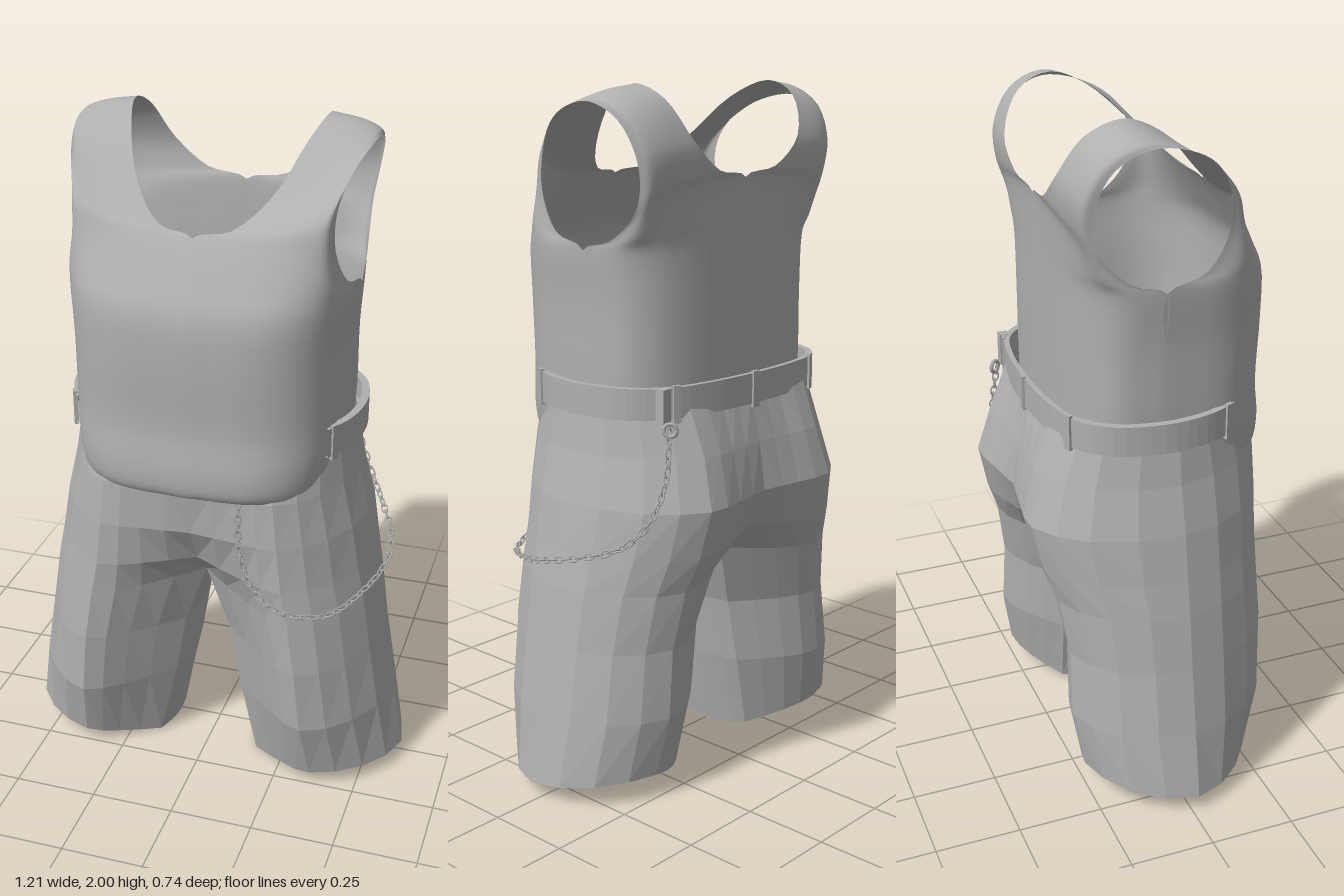
import * as THREE from 'three';
import { mergeGeometries, mergeVertices } from 'three/addons/utils/BufferGeometryUtils.js';

const { lerp } = THREE.MathUtils;
const curve = (pts) => new THREE.CatmullRomCurve3(pts.map((p) => new THREE.Vector3(...p)));

// Surface through rows of points, splined along (su) and across (sv) the rows; sx = -1 mirrors it.
function patch(rows, su, sv, sx) {
  const across = rows.map((r) => curve(r).getPoints((r.length - 1) * su));
  const nu = across[0].length;
  const columns = across[0].map((_, i) => {
    const column = across.map((r) => r[i]);
    return sv === 1 ? column : new THREE.CatmullRomCurve3(column).getPoints((rows.length - 1) * sv);
  });
  const nv = columns[0].length, pos = [], idx = [];
  for (let j = 0; j < nv; j++) for (let i = 0; i < nu; i++) {
    const p = columns[i][j];
    pos.push(p.x * sx, p.y, p.z);
  }
  for (let j = 0; j < nv - 1; j++) for (let i = 0; i < nu - 1; i++) {
    const a = j * nu + i, b = a + 1, d = a + nu, c = d + 1;
    idx.push(...(sx > 0 ? [a, b, c, a, c, d] : [a, c, b, a, d, c]));
  }
  const g = new THREE.BufferGeometry();
  g.setAttribute('position', new THREE.Float32BufferAttribute(pos, 3));
  g.setIndex(idx);
  return g;
}

// Both mirrored halves in one geometry, smooth or faceted.
function mirrored(rows, su, sv, smooth) {
  let g = mergeGeometries([patch(rows, su, sv, 1), patch(rows, su, sv, -1)]);
  g = smooth ? mergeVertices(g, 1e-4) : g.toNonIndexed();
  g.computeVertexNormals();
  return g;
}

// Tank top row: a rounded corner from the centre or neck edge to the side or armhole edge.
function shirtRow([x0, y0, z0, x1, y1, z1]) {
  return [0, 1, 2, 3, 4].map((i) => {
    const a = (i / 4) * Math.PI / 2;
    const s = Math.sin(a) ** 0.667, c = Math.max(0, Math.cos(a)) ** 0.667;
    return [lerp(x0, x1, s), lerp(y0, y1, i / 4), lerp(z1, z0, i === 4 ? 0 : c)];
  });
}

// The hem slopes up to the outside and dips between front and back.
const hemY = (x, z) => Math.max(0, 0.11 * (x - 0.14) + 0.6 * z * z - 0.05 * z);

// Shorts row: front inner edge, front ridge, outside, seat, back inner edge.
function shortsRow([y, lift, xIn, xRidge, xOut, zFrontIn, zFront, zBack, zBackIn]) {
  return [
    [xIn, zFrontIn, lift],
    [lerp(xIn, xRidge, 0.55), lerp(zFrontIn, zFront, 0.65), lift * 0.3],
    [xRidge, zFront, 0],
    [lerp(xRidge, xOut, 0.62), zFront * 0.69, 0],
    [xOut, 0.02, 0],
    [lerp(xRidge, xOut, 0.7), zBack * 0.66, 0],
    [xRidge, zBack, 0],
    [lerp(xIn, xRidge, 0.5), lerp(zBackIn, zBack, 0.7), lift * 0.3],
    [xIn, zBackIn, lift],
  ].map(([x, z, up]) => [x, y === 0 ? hemY(x, z) : y + up, z]);
}

export function createModel() {
  const model = new THREE.Group();
  const grey = new THREE.MeshStandardMaterial({ color: 0xb0b0b0, side: THREE.DoubleSide });
  grey.name = 'cloth grey';
  const add = (name, geometry, parent = model) => {
    const m = new THREE.Mesh(geometry, grey);
    m.name = name;
    parent.add(m);
    return m;
  };

  // Tank top: rows run from the front hem over the shoulder to the back hem.
  const belly = [
    [0, 0.99, 0.325, 0.36, 0.98, -0.02],
    [0, 1.01, 0.36, 0.375, 1.01, -0.02],
    [0, 1.08, 0.37, 0.388, 1.08, -0.02],
    [0, 1.2, 0.357, 0.395, 1.2, -0.02],
    [0, 1.4, 0.365, 0.395, 1.4, -0.02],
    [0, 1.54, 0.357, 0.405, 1.56, -0.02],
  ];
  const straps = [
    [0, 1.63, 0.315, 0.39, 1.6, 0.1],
    [0, 1.73, 0.255, 0.37, 1.71, 0.175],
    [0.1, 1.75, 0.225, 0.37, 1.81, 0.17],
    [0.19, 1.83, 0.14, 0.39, 1.89, 0.12],
    [0.25, 1.95, 0.02, 0.415, 1.94, 0.03],
    [0.28, 2, -0.1, 0.43, 1.955, -0.08],
    [0.27, 1.96, -0.2, 0.42, 1.91, -0.17],
    [0.22, 1.85, -0.26, 0.4, 1.82, -0.215],
    [0.12, 1.77, -0.262, 0.385, 1.73, -0.215],
    [0, 1.745, -0.252, 0.385, 1.66, -0.19],
    [0, 1.64, -0.25, 0.395, 1.59, -0.11],
  ];
  const backRows = [1.55, 1.4, 1.2, 1.08].map((y, i) =>
    [0, y, -0.25, belly[5 - i][3], belly[5 - i][4], -0.02]);
  add('tankTop', mirrored([...belly, ...straps, ...backRows].map(shirtRow), 5, 4, true));

  // Shorts, from the hem up to the waist
  const shorts = [
    [0, 0, 0.16, 0.365, 0.605, 0.13, 0.26, -0.25, -0.14],
    [0.25, 0, 0.105, 0.345, 0.57, 0.13, 0.32, -0.28, -0.15],
    [0.45, 0, 0.07, 0.325, 0.535, 0.13, 0.33, -0.275, -0.14],
    [0.62, 0.03, 0, 0.3, 0.51, 0.14, 0.325, -0.3, -0.17],
    [0.72, 0.02, 0, 0.28, 0.49, 0.23, 0.325, -0.335, -0.28],
    [0.86, 0, 0, 0.265, 0.465, 0.3, 0.325, -0.365, -0.335],
    [1, 0, 0, 0.25, 0.43, 0.32, 0.32, -0.325, -0.315],
    [1.14, 0, 0, 0.25, 0.41, 0.3, 0.28, -0.27, -0.28],
  ].map(shortsRow);
  add('shorts', mirrored(shorts, 2, 1, false));

  // Inner thighs close each leg up to the crotch.
  const thighs = shorts.slice(0, 4).map((row, i) => {
    const x = row[0][0] * 0.85;
    const y = [0.005, 0.25, 0.45, 0.625][i];
    return [row[8], [x, y, -0.05], [x, y, 0.05], row[0]];
  });
  add('innerThighs', mirrored(thighs, 2, 1, false));

  // Belt band, visible round the sides and back
  const path = [[0.375, 0.2], [0.42, 0.1], [0.435, -0.03], [0.4, -0.17], [0.32, -0.25], [0.17, -0.285], [0, -0.295]];
  const band = (y, k) => path.map(([x, z]) => [x * k, y, z * k]);
  add('belt', mirrored([band(1.11, 0.95), band(1.11, 1), band(1.198, 1), band(1.198, 0.95)], 4, 1, false));

  // Belt loops on both sides and one at the back
  const beltCurve = curve(band(1.152, 1));
  const loops = new THREE.Group();
  loops.name = 'beltLoops';
  model.add(loops);
  for (const [t, side] of [[0.04, 1], [0.04, -1], [0.7, 1], [0.7, -1], [1, 1]]) {
    const p = beltCurve.getPoint(t), d = beltCurve.getTangent(t);
    const loop = add('beltLoop', new THREE.BoxGeometry(0.012, 0.105, 0.024), loops);
    loop.position.set(p.x * side, p.y, p.z);
    loop.rotation.y = Math.atan2(d.x * side, d.z);
  }

  // Chain hanging from the front waist round the left hip to the back
  const chainCurve = curve([
    [0.155, 1.0, 0.335], [0.16, 0.85, 0.332], [0.2, 0.73, 0.333], [0.28, 0.67, 0.34], [0.4, 0.645, 0.285],
    [0.48, 0.665, 0.16], [0.525, 0.7, 0.02], [0.51, 0.73, -0.1], [0.46, 0.77, -0.21],
    [0.41, 0.84, -0.265], [0.365, 0.95, -0.285], [0.34, 1.08, -0.275]]);
  const chain = new THREE.Group();
  chain.name = 'chain';
  model.add(chain);
  const linkShape = new THREE.TorusGeometry(0.009, 0.0025, 5, 10).scale(1.8, 1, 1);
  const count = 56;
  for (let i = 0; i <= count; i++) {
    const link = add('chainLink', linkShape, chain);
    link.position.copy(chainCurve.getPointAt(i / count));
    link.quaternion.setFromUnitVectors(new THREE.Vector3(1, 0, 0), chainCurve.getTangentAt(i / count));
    link.rotateX(i % 2 ? Math.PI / 2 : 0);
  }

  // Clip fixing the chain to the belt
  const clip = add('chainClip', new THREE.TorusGeometry(0.018, 0.006, 6, 12), chain);
  clip.position.set(0.34, 1.09, -0.28);
  clip.rotation.y = -0.9;
  add('clipStrap', new THREE.BoxGeometry(0.03, 0.1, 0.03), chain).position.set(0.335, 1.15, -0.25);

  return model;
}
